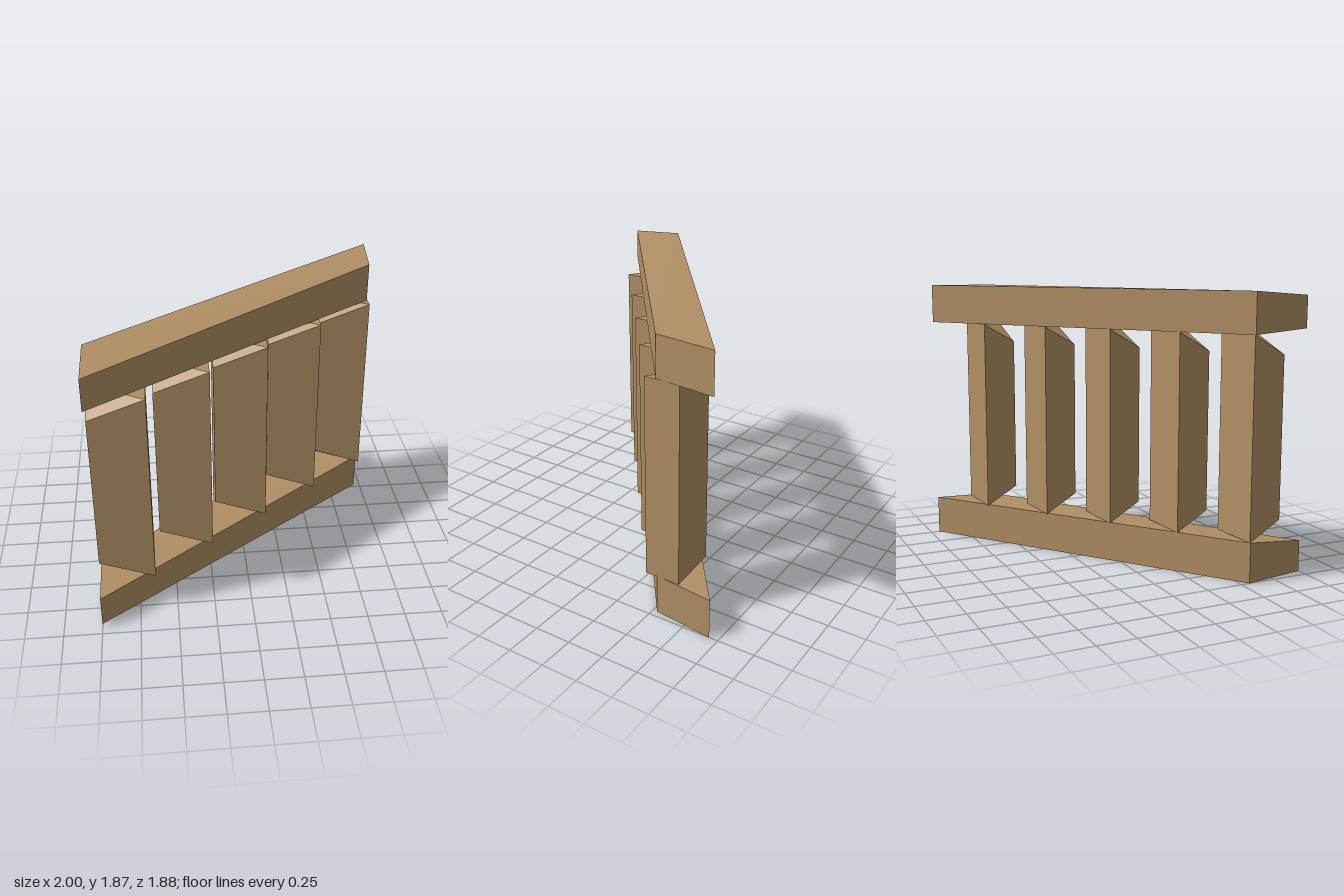
import * as THREE from 'three';

const wood = new THREE.MeshStandardMaterial({ color: 0xb08f64, flatShading: true });

// Four-cornered upright block. Corners [x, z] run front left of the frame, front right,
// back right, back left; the first corner is pinched in at top and bottom.
function block(name, corners, bottom, top, pinch) {
  const low = corners.map(([x, z], i) => [x, bottom + (i === 0 ? pinch : 0), z]);
  const high = corners.map(([x, z], i) => [x, top - (i === 0 ? pinch : 0), z]);
  const tris = [
    high[0], high[1], high[3], high[1], high[2], high[3],
    low[0], low[3], low[1], low[1], low[3], low[2],
  ];
  for (let i = 0; i < 4; i++) {
    const j = (i + 1) % 4;
    tris.push(low[i], low[j], high[j], low[i], high[j], high[i]);
  }
  const geometry = new THREE.BufferGeometry();
  geometry.setAttribute('position', new THREE.Float32BufferAttribute(tris.flat(), 3));
  geometry.computeVertexNormals();
  const mesh = new THREE.Mesh(geometry, wood);
  mesh.name = name;
  return mesh;
}

export function createModel() {
  const model = new THREE.Group();
  model.name = 'railing';

  // Diagonal rails
  const railPlan = [[-1, 0.94], [0.955, -0.53], [1, -0.94], [-1, 0.56]];
  model.add(block('bottomRail', railPlan, 0, 0.27, 0.03));
  model.add(block('topRail', railPlan, 1.6, 1.87, 0.03));

  // Staggered posts, each stepping back along the rails
  for (let i = 0; i < 5; i++) {
    const x = -1 + 0.4 * i;
    const z = 0.775 - 0.307 * i;
    const plan = [[x, z], [x + 0.36, z], [x + 0.36, z - 0.24], [x, z - 0.22]];
    model.add(block(`post${i + 1}`, plan, 0.27, 1.6, 0.13));
  }
  return model;
}
